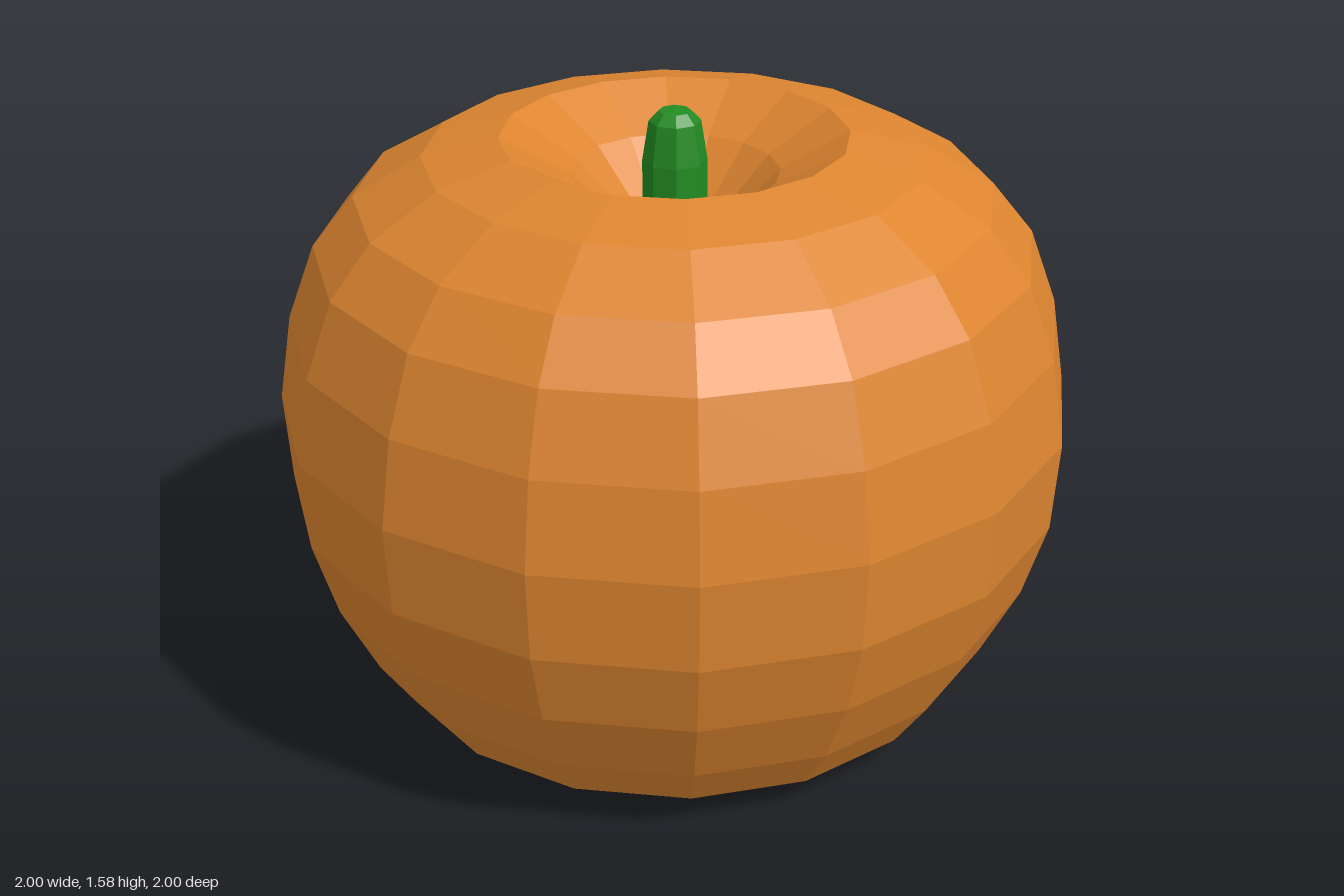
import * as THREE from 'three';

const orange = new THREE.MeshStandardMaterial({ name: 'orange rind', color: 0xdd8530, flatShading: true });
const green = new THREE.MeshStandardMaterial({ name: 'green stem', color: 0x228b22, flatShading: true });

// Faceted turned part from [radius, height] pairs, listed bottom to top along the outside
function turned(name, profile, sides, material) {
  const points = profile.map(([r, y]) => new THREE.Vector2(r, y));
  const mesh = new THREE.Mesh(new THREE.LatheGeometry(points, sides), material);
  mesh.name = name;
  return mesh;
}

export function createModel() {
  const group = new THREE.Group();
  group.name = 'pumpkin';

  // Body: hollow underside, rounded wall, sunken crown
  group.add(turned('body', [
    [0, 0.25], [0.083, 0.24], [0.27, 0.14], [0.45, 0.06], [0.62, 0],
    [0.74, 0.08], [0.83, 0.21], [0.925, 0.4], [0.985, 0.6], [1, 0.83],
    [0.965, 1.05], [0.895, 1.24], [0.79, 1.37], [0.62, 1.47], [0.43, 1.515],
    [0.26, 1.42], [0.09, 1.25], [0, 1.24],
  ], 16, orange));

  // Stem: tapered, with a bevelled tip
  group.add(turned('stem', [
    [0, 1.2], [0.08, 1.2], [0.08, 1.45], [0.064, 1.55], [0.04, 1.575], [0, 1.578],
  ], 8, green));

  return group;
}
